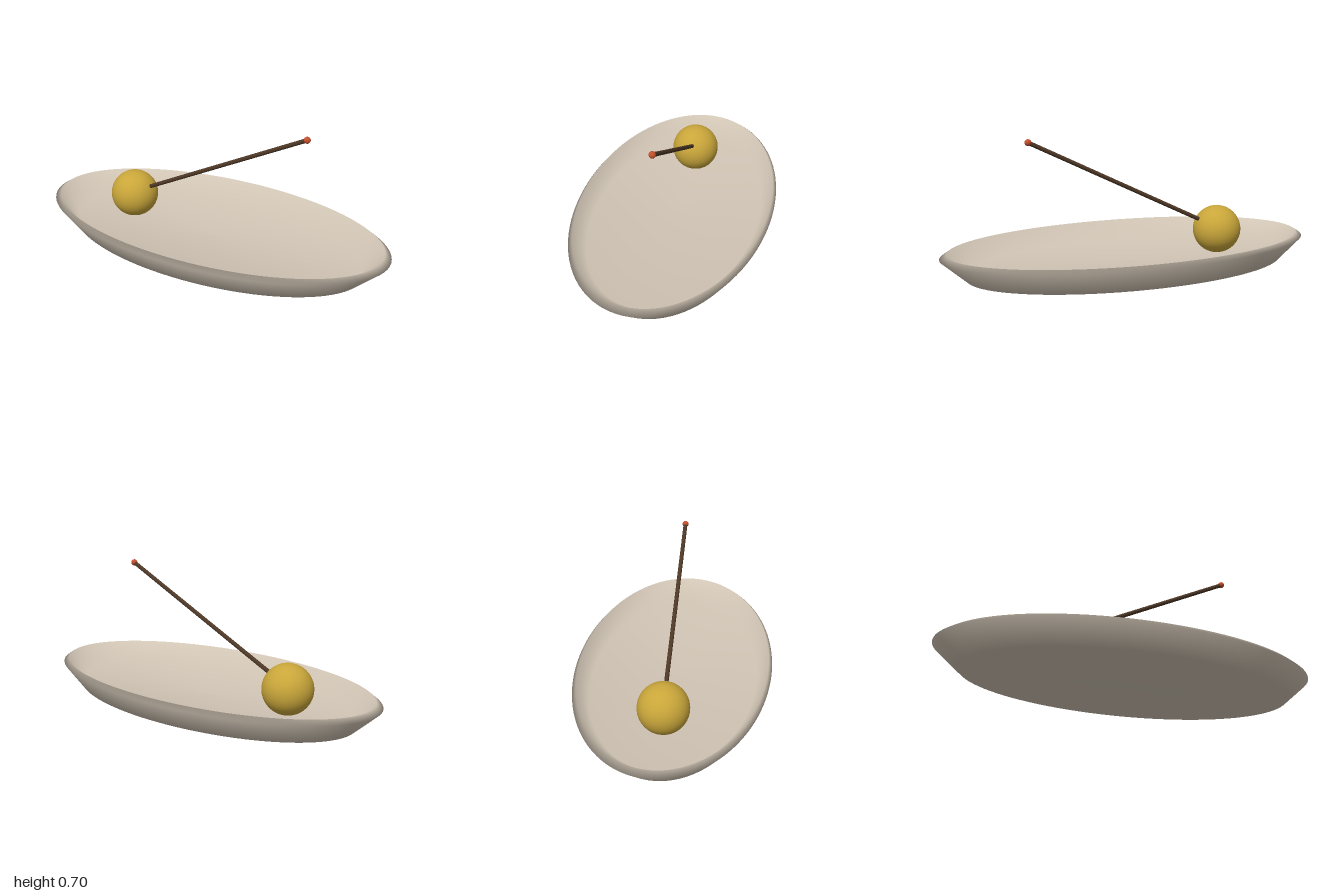
import * as THREE from 'three';

const paint = (name, color) => {
  const m = new THREE.MeshStandardMaterial({ color });
  m.name = name;
  return m;
};

export function createModel() {
  const stone = paint('pale stone', 0xd0c4b4);
  const gold = paint('gold', 0xc9a63a);
  const wood = paint('dark wood', 0x4e3826);
  const red = paint('ember red', 0xc4502c);

  const model = new THREE.Group();
  const add = (name, geometry, material) => {
    const mesh = new THREE.Mesh(geometry, material);
    mesh.name = name;
    model.add(mesh);
    return mesh;
  };

  // Oval dish: closed profile from the base, round the rim, down to the inner floor
  const profile = [
    [0, 0], [0.87, 0], [1, 0.115], [0.965, 0.137], [0.85, 0.035], [0, 0.025],
  ].map(([r, y]) => new THREE.Vector2(r, y));
  const dish = new THREE.LatheGeometry(profile, 96);
  dish.scale(1, 1, 0.52);
  add('dish', dish, stone);

  // Ball resting in the dish
  const ballCentre = new THREE.Vector3(-0.51, 0.155, 0);
  add('ball', new THREE.SphereGeometry(0.13, 48, 32), gold).position.copy(ballCentre);

  // Slanted stick, rooted just inside the ball's surface
  const tip = new THREE.Vector3(0.545, 0.68, 0);
  const direction = tip.clone().sub(ballCentre).normalize();
  const root = ballCentre.clone().addScaledVector(direction, 0.115).add(new THREE.Vector3(0, 0.008, 0));
  const stick = add('stick', new THREE.CylinderGeometry(0.011, 0.011, root.distanceTo(tip), 16), wood);
  stick.position.copy(root).lerp(tip, 0.5);
  stick.quaternion.setFromUnitVectors(new THREE.Vector3(0, 1, 0), tip.clone().sub(root).normalize());

  // Small bead on the stick's tip
  add('tipBead', new THREE.SphereGeometry(0.017, 24, 16), red).position.copy(tip);

  return model;
}
